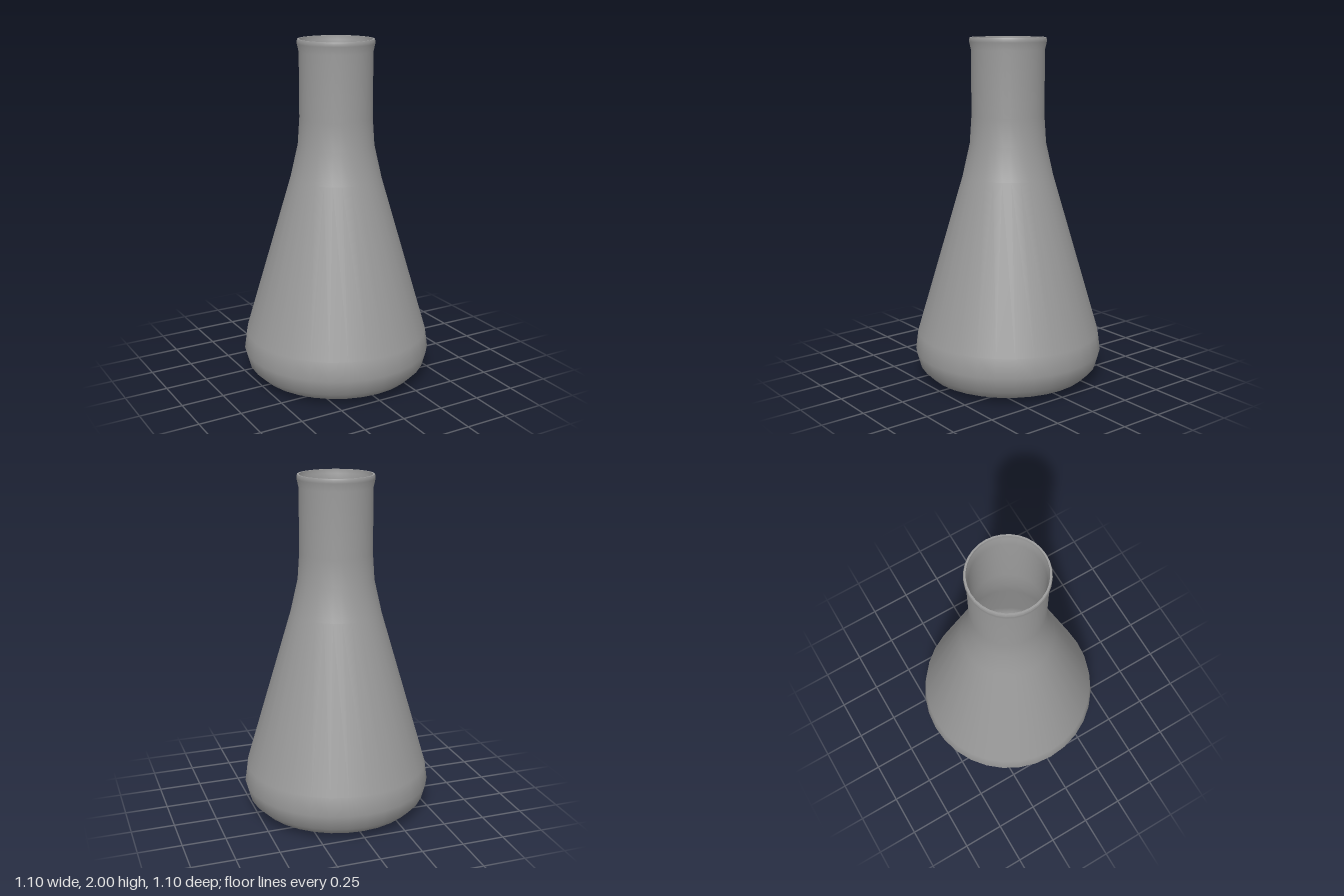
import * as THREE from 'three';

export function createModel() {
  const group = new THREE.Group();
  const material = new THREE.MeshStandardMaterial({ color: 0x9b9b9b });
  const segments = 32;
  const addLathe = (name, points) => {
    const profile = points.map(([r, y]) => new THREE.Vector2(r, y));
    const mesh = new THREE.Mesh(new THREE.LatheGeometry(profile, segments), material);
    mesh.name = name;
    group.add(mesh);
  };

  // Outer wall: flat base, rounded shoulder, cone, neck and flared lip
  addLathe('outerWall', [
    [0, 0], [0.39, 0], [0.477, 0.03], [0.527, 0.08], [0.552, 0.17], [0.537, 0.28],
    [0.264, 1.21], [0.221, 1.4], [0.21, 1.56], [0.21, 1.93], [0.22, 1.975], [0.22, 1.99], [0.217, 2],
  ]);

  // Rim: narrow flat ring joining the walls
  addLathe('rim', [[0.217, 2], [0.207, 2]]);

  // Inner wall: runs from the lip down to the inside floor
  addLathe('innerWall', [
    [0.207, 2], [0.206, 1.975], [0.196, 1.93], [0.196, 1.56], [0.207, 1.4], [0.251, 1.21],
    [0.524, 0.28], [0.539, 0.17], [0.517, 0.09], [0.469, 0.042], [0.388, 0.013], [0, 0.013],
  ]);

  return group;
}
